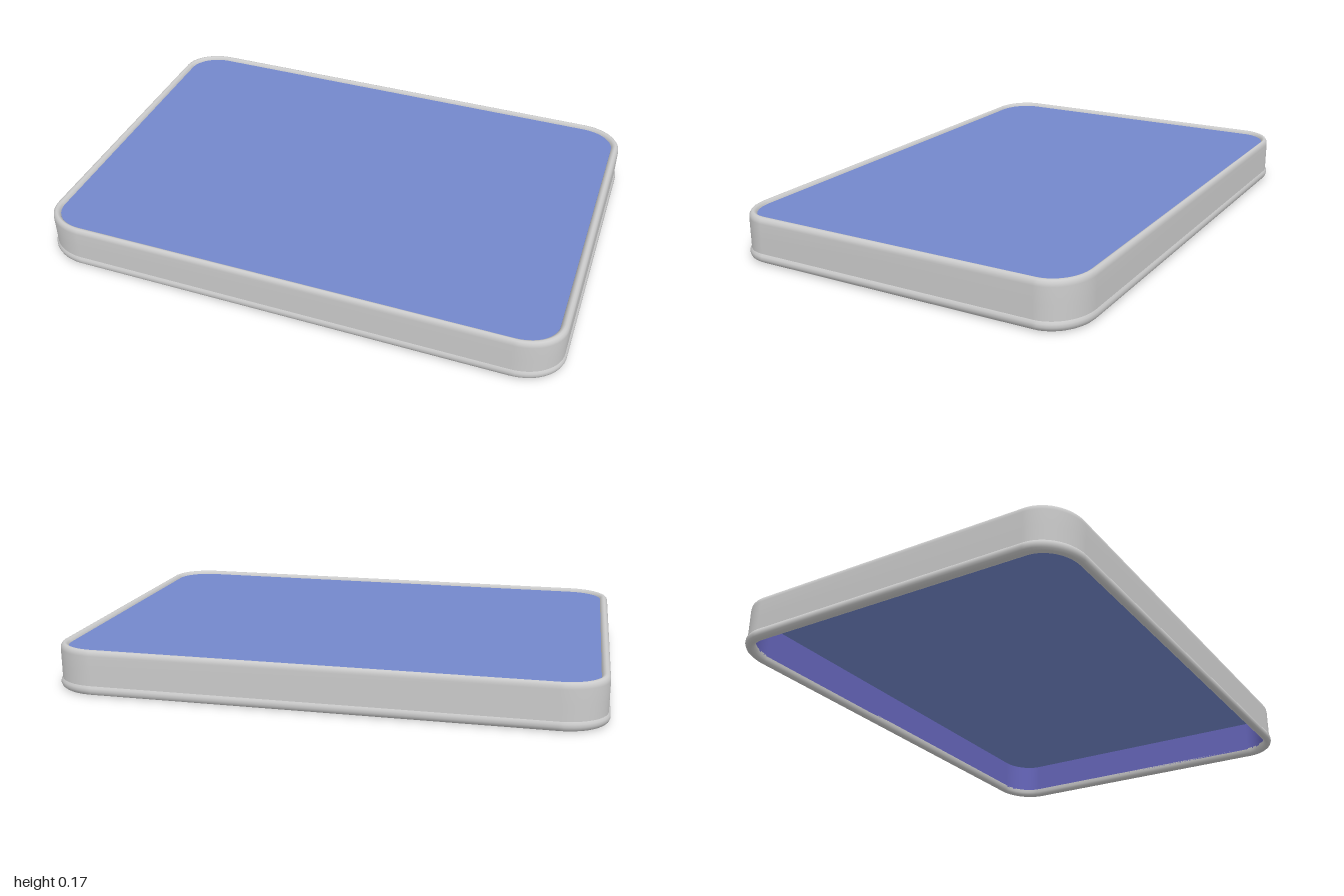
import * as THREE from 'three';

const HALF_X = 1, HALF_Z = 0.685, RADIUS_X = 0.17, RADIUS_Z = 0.14, STEPS = 14;

// Rounded-rectangle outline, moved inwards by inset
function outline(inset) {
  const dz = inset * 0.8;
  const rx = RADIUS_X - inset, rz = RADIUS_Z - dz;
  const cx = HALF_X - RADIUS_X, cz = HALF_Z - RADIUS_Z;
  const points = [];
  [[1, 1], [-1, 1], [-1, -1], [1, -1]].forEach(([sx, sz], corner) => {
    for (let i = 0; i <= STEPS; i++) {
      const a = (corner + i / STEPS) * Math.PI / 2;
      points.push(new THREE.Vector2(sx * cx + rx * Math.cos(a), sz * cz + rz * Math.sin(a)));
    }
  });
  return points;
}

// Sweeps a profile of [inset, y] pairs around the outline
function sweep(profile) {
  const positions = [], index = [];
  const n = 4 * (STEPS + 1);
  profile.forEach(([inset, y], r) => {
    outline(inset).forEach((p, j) => {
      positions.push(p.x, y, p.y);
      if (r === profile.length - 1) return;
      const a = r * n + j, b = r * n + (j + 1) % n;
      index.push(a, a + n, b, b, a + n, b + n);
    });
  });
  const geometry = new THREE.BufferGeometry();
  geometry.setAttribute('position', new THREE.Float32BufferAttribute(positions, 3));
  geometry.setIndex(index);
  geometry.computeVertexNormals();
  return geometry;
}

export function createModel() {
  const group = new THREE.Group();
  const grey = new THREE.MeshStandardMaterial({ color: 0xcccccc, side: THREE.DoubleSide });
  const blue = new THREE.MeshStandardMaterial({ color: 0x7388cc });
  const violet = new THREE.MeshStandardMaterial({ color: 0x6666bb, side: THREE.DoubleSide });
  const add = (name, geometry, material) => {
    const mesh = new THREE.Mesh(geometry, material);
    mesh.name = name;
    group.add(mesh);
    return mesh;
  };

  // Rolled bead around the bottom edge
  add('bottomBead', sweep([
    [0.04, 0.03], [0.04, 0.016], [0.034, 0.005], [0.023, 0], [0.012, 0.002],
    [0.004, 0.008], [0, 0.018], [0.001, 0.028], [0.007, 0.036],
  ]), grey);

  // Side wall with its rounded top rim
  add('sideWall', sweep([
    [0.007, 0.034], [0.007, 0.09], [0.007, 0.148], [0.009, 0.159], [0.015, 0.167],
    [0.022, 0.17], [0.029, 0.168], [0.036, 0.161], [0.039, 0.15],
  ]), grey);

  // Lining on the inner face of the wall
  add('innerLining', sweep([[0.04, 0.15], [0.04, 0.025]]), violet);

  // Flat panel set just below the rim
  const panel = add('topPanel', new THREE.ExtrudeGeometry(
    new THREE.Shape(outline(0.038)), { depth: 0.01, bevelEnabled: false }), blue);
  panel.rotation.x = -Math.PI / 2;
  panel.position.y = 0.147;

  return group;
}
